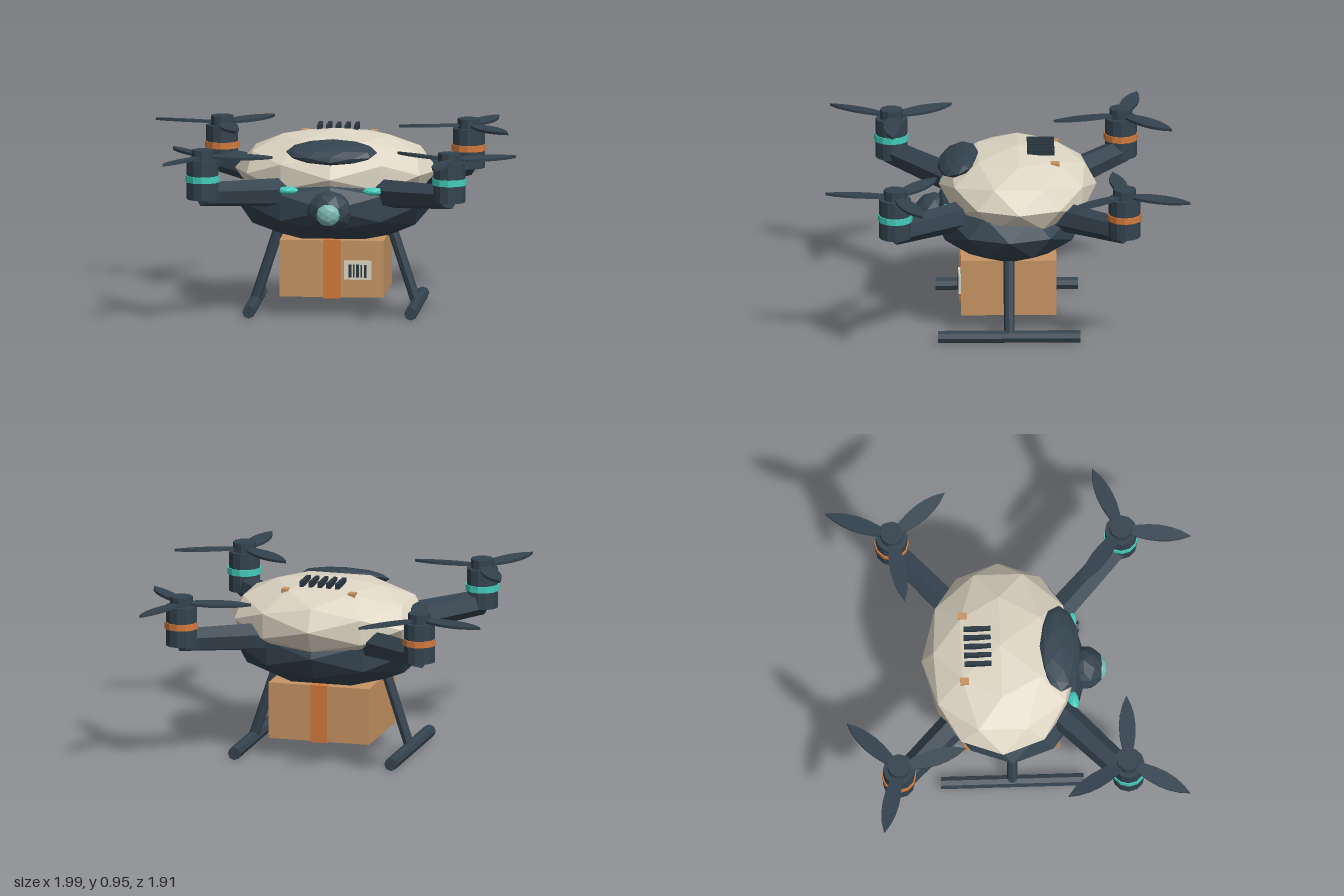
import * as THREE from 'three';

const mat = (name, color) => {
  const m = new THREE.MeshStandardMaterial({ color, flatShading: true });
  m.name = name;
  return m;
};

export function createModel() {
  const slate = mat('slate', 0x34434f);
  const darkSlate = mat('dark slate', 0x2a3640);
  const cream = mat('cream', 0xddd5c3);
  const teal = mat('teal', 0x43cdbb);
  const glass = mat('pale glass', 0x7bb8b0);
  const orange = mat('orange', 0xd47a3c);
  const cardboard = mat('cardboard', 0xc69463);

  const model = new THREE.Group();
  model.name = 'deliveryDrone';
  const drone = new THREE.Group();
  drone.name = 'drone';
  drone.position.set(0.005, 0, -0.012);
  model.add(drone);

  const add = (parent, name, geo, material, x = 0, y = 0, z = 0) => {
    const m = new THREE.Mesh(geo, material);
    m.name = name;
    m.position.set(x, y, z);
    parent.add(m);
    return m;
  };
  const box = (parent, name, w, h, d, material, x, y, z) =>
    add(parent, name, new THREE.BoxGeometry(w, h, d), material, x, y, z);
  const blob = (parent, name, rx, ry, rz, material, x, y, z) => {
    const m = add(parent, name, new THREE.IcosahedronGeometry(1, 1), material, x, y, z);
    m.scale.set(rx, ry, rz);
    return m;
  };
  // Tapered rod between two points
  const rod = (parent, name, a, b, rA, rB, sides, material) => {
    const dir = b.clone().sub(a);
    const m = add(parent, name, new THREE.CylinderGeometry(rB, rA, dir.length(), sides), material);
    m.position.copy(a).add(b).multiplyScalar(0.5);
    m.quaternion.setFromUnitVectors(new THREE.Vector3(0, 1, 0), dir.normalize());
    return m;
  };
  const v = (x, y, z) => new THREE.Vector3(x, y, z);

  // Hull, upper shell and canopy
  blob(drone, 'hull', 0.527, 0.22, 0.41, slate, 0, 0.58, 0);
  blob(drone, 'upperShell', 0.533, 0.215, 0.413, cream, 0, 0.735, -0.05);
  blob(drone, 'canopy', 0.24, 0.045, 0.115, slate, 0, 0.868, 0.262).rotation.x = 0.36;

  // Nose camera and headlights
  blob(drone, 'cameraBall', 0.118, 0.112, 0.112, slate, 0, 0.572, 0.385);
  blob(drone, 'cameraLens', 0.064, 0.062, 0.042, glass, 0, 0.568, 0.468);
  for (const s of [-1, 1]) {
    blob(drone, 'headlight', 0.058, 0.022, 0.032, teal, s * 0.225, 0.672, 0.323);
    box(drone, 'rearMarker', 0.038, 0.04, 0.045, cardboard, s * 0.181, 0.893, -0.243);
  }

  // Vent slats on the shell
  for (let i = -2; i <= 2; i++)
    box(drone, 'ventSlat', 0.021, 0.03, 0.142, darkSlate, i * 0.0485, 0.94, -0.17);

  // Leaf-shaped propeller blade
  const leaf = new THREE.Shape();
  leaf.moveTo(0.03, -0.016);
  leaf.bezierCurveTo(0.14, -0.055, 0.27, -0.055, 0.367, 0);
  leaf.bezierCurveTo(0.27, 0.055, 0.14, 0.055, 0.03, 0.016);
  leaf.closePath();
  const bladeGeo = new THREE.ExtrudeGeometry(leaf, { depth: 0.014, bevelEnabled: false, curveSegments: 6 });
  bladeGeo.translate(0, 0, -0.007).rotateX(-Math.PI / 2);

  // Four arms with motors and propellers
  const rotors = [
    [-1, 1, 0, teal], [1, 1, 22.5, teal],
    [-1, -1, 46, orange], [1, -1, 69, orange],
  ];
  for (const [sx, sz, angle, bandColor] of rotors) {
    const x = sx * 0.647, z = sz * 0.6;
    rod(drone, 'arm', v(sx * 0.25, 0.65, sz * 0.23), v(x, 0.69, z), 0.08, 0.066, 6, slate);
    const rotor = new THREE.Group();
    rotor.name = 'rotor';
    rotor.position.set(x, 0, z);
    drone.add(rotor);
    add(rotor, 'motor', new THREE.CylinderGeometry(0.084, 0.084, 0.21, 12), slate, 0, 0.77, 0);
    add(rotor, 'motorBand', new THREE.CylinderGeometry(0.09, 0.09, 0.034, 12), bandColor, 0, 0.773, 0);
    add(rotor, 'hub', new THREE.CylinderGeometry(0.06, 0.06, 0.055, 10), slate, 0, 0.897, 0);
    for (let i = 0; i < 3; i++) {
      const blade = add(rotor, 'propellerBlade', bladeGeo, slate, 0, 0.888, 0);
      blade.rotation.order = 'YXZ';
      blade.rotation.set(0.1, THREE.MathUtils.degToRad(angle + i * 120), 0);
    }
  }

  // Landing gear
  for (const s of [-1, 1]) {
    rod(drone, 'landingStrut', v(s * 0.425, 0.035, 0), v(s * 0.28, 0.48, 0), 0.028, 0.028, 8, slate);
    rod(drone, 'landingSkid', v(s * 0.425, 0.034, -0.373), v(s * 0.425, 0.034, 0.373), 0.034, 0.034, 8, slate);
  }

  // Parcel with tape and barcode label
  const parcel = new THREE.Group();
  parcel.name = 'parcel';
  drone.add(parcel);
  box(parcel, 'parcelBox', 0.546, 0.3, 0.5, cardboard, 0, 0.25, 0);
  box(parcel, 'parcelTape', 0.09, 0.308, 0.508, orange, 0, 0.248, 0);
  box(parcel, 'label', 0.145, 0.1, 0.014, cream, 0.137, 0.245, 0.255);
  [0.014, 0.008, 0.016, 0.008, 0.014].forEach((w, i) =>
    box(parcel, 'labelBar', w, 0.068, 0.004, darkSlate, 0.097 + i * 0.02, 0.241, 0.263));

  return model;
}
